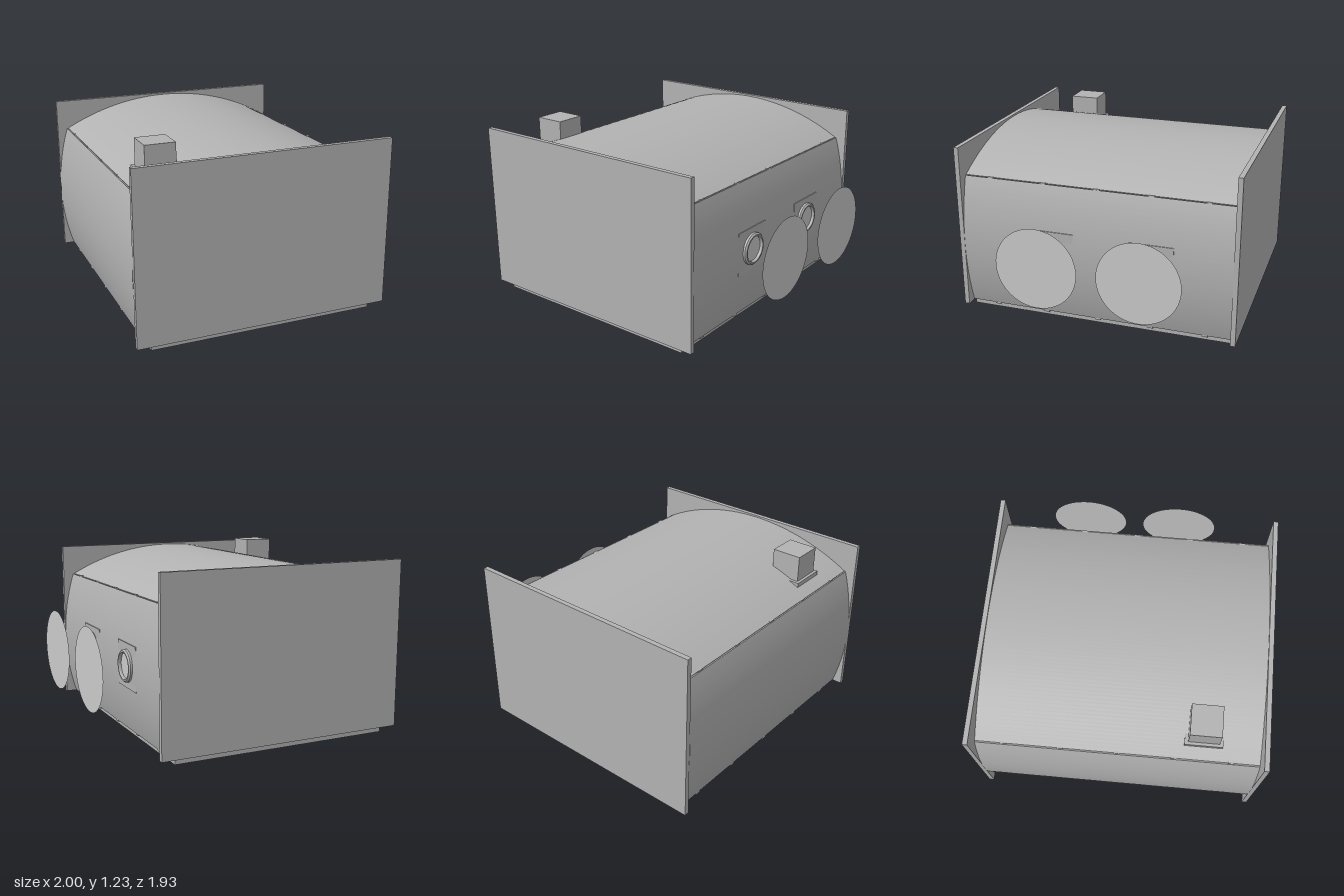
import * as THREE from 'three';

const CX = -0.13; // middle of the hull across x
const LENGTH = 1.87;

export function createModel() {
  const model = new THREE.Group();
  model.name = 'cabin';

  const grey = new THREE.MeshStandardMaterial({ color: 0xb2b2b2 });
  grey.name = 'panel grey';
  const light = new THREE.MeshStandardMaterial({ color: 0xcacaca, side: THREE.DoubleSide });
  light.name = 'light grey';

  const add = (name, geometry, material, x, y, z, parent = model) => {
    const mesh = new THREE.Mesh(geometry, material);
    mesh.name = name;
    mesh.position.set(x, y, z);
    parent.add(mesh);
    return mesh;
  };
  // box given by its lowest and highest corners
  const box = (name, x0, x1, y0, y1, z0, z1) =>
    add(name, new THREE.BoxGeometry(x1 - x0, y1 - y0, z1 - z0), grey,
      (x0 + x1) / 2, (y0 + y1) / 2, (z0 + z1) / 2);
  // bent sheet running along z, its arc centred on the given direction
  const bentSheet = (radius, halfSpan, direction) => {
    const a = Math.asin(halfSpan / radius);
    const shape = new THREE.Shape();
    shape.absarc(0, 0, radius, direction - a, direction + a, false);
    shape.absarc(0, 0, radius - 0.018, direction + a, direction - a, true);
    const geometry = new THREE.ExtrudeGeometry(shape,
      { depth: LENGTH, bevelEnabled: false, curveSegments: 32 });
    return geometry.translate(0, 0, -LENGTH / 2);
  };

  // floor and end walls
  box('floor', -0.9, 0.645, 0, 0.045, -0.933, 0.933);
  box('frontWall', -1, 0.745, 0.04, 1.19, 0.933, 0.966);
  box('backWall', -1, 0.745, 0.04, 1.19, -0.966, -0.933);

  // arched roof and two bulged side walls
  add('roof', bentSheet(1.66, 0.79, Math.PI / 2), grey, CX, 1.178 - 1.66, 0);
  const side = bentSheet(1.51, 0.467, 0);
  for (const s of [1, -1]) {
    const wall = add(s > 0 ? 'leftWall' : 'rightWall', side, grey, CX + s * (0.873 - 1.51), 0.508, 0);
    if (s < 0) wall.rotation.y = Math.PI;
    // rib tabs showing in the roof and floor seams
    for (let i = -2; i <= 2; i++) {
      const tab = new THREE.BoxGeometry(0.02, 0.012, 0.04);
      add('roofTab', tab, grey, CX + s * 0.785, 0.976, i * 0.373);
      add('floorTab', tab, grey, CX + s * 0.79, 0.038, i * 0.373);
    }
  }

  // chimney on a flat flange sunk into the roof
  box('chimney', -0.82, -0.615, 1.03, 1.23, 0.455, 0.66);
  box('chimneyFlange', -0.84, -0.595, 1.02, 1.05, 0.432, 0.682);

  // portholes with backing plates, and a loose round cover beside each
  const profile = [[0.086, -0.02], [0.11, -0.02], [0.11, 0.012], [0.1, 0.022], [0.09, 0.022], [0.086, 0.016], [0.086, -0.02]]
    .map(([r, h]) => new THREE.Vector2(r, h));
  const ring = new THREE.LatheGeometry(profile, 40).toNonIndexed();
  ring.computeVertexNormals();
  for (const z of [0.295, -0.39]) {
    box('portPlate', 0.725, 0.74, 0.37, 0.67, z - 0.155, z + 0.155);
    const port = add('portRing', ring, grey, 0.744, 0.52, z);
    port.rotation.z = -Math.PI / 2;
    const glass = add('portGlass', new THREE.CircleGeometry(0.09, 40), light, 0.746, 0.52, z);
    glass.rotation.y = Math.PI / 2;
    const cover = add('roundCover', new THREE.CircleGeometry(0.278, 64), light, 1, 0.52, z);
    cover.rotation.y = Math.PI / 2;
  }
  return model;
}
